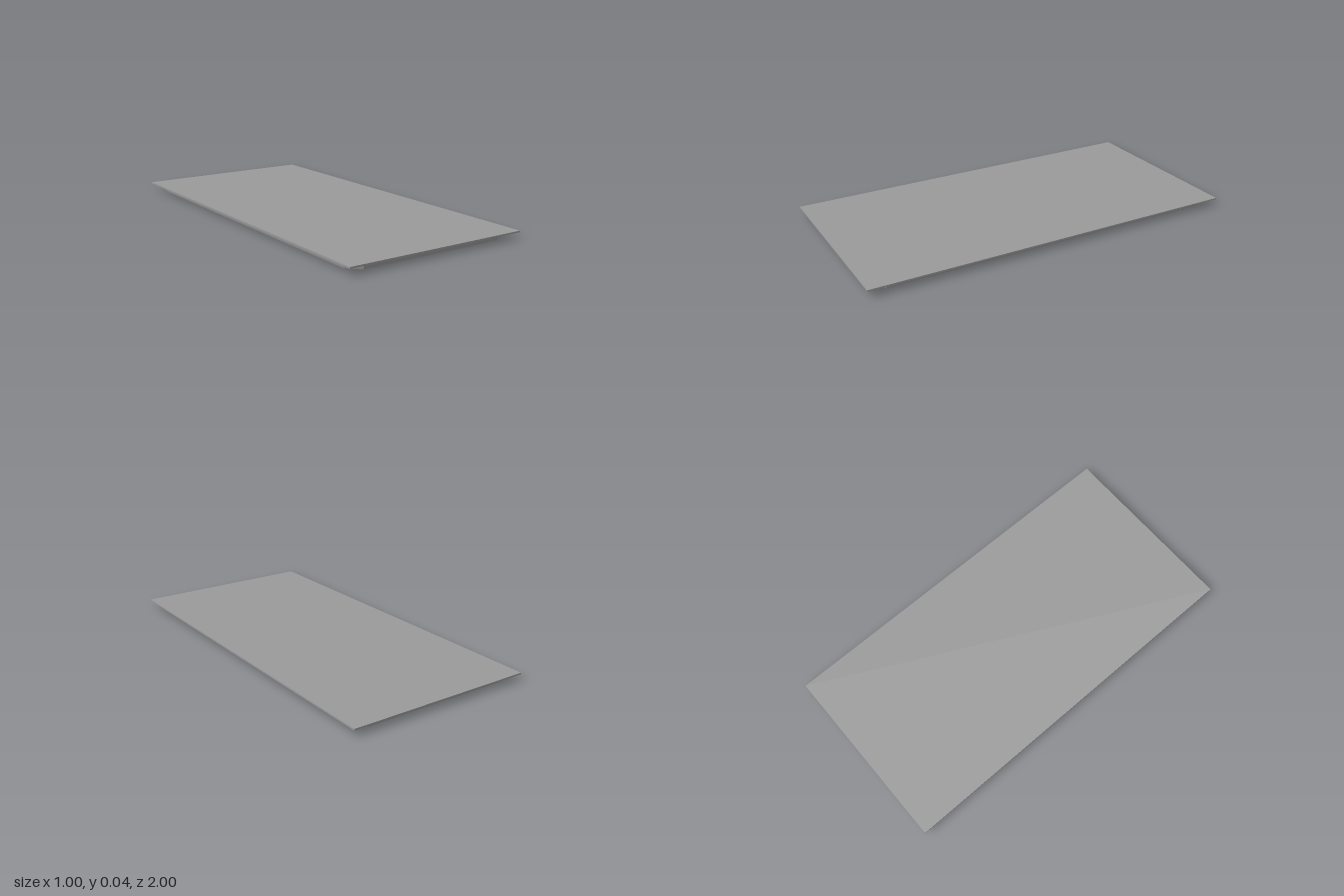
import * as THREE from 'three';

const material = new THREE.MeshStandardMaterial({ color: 0x9a9a9a, flatShading: true });

// Rectangle with clipped corners, reaching x = a and z = a + 0.5
function clippedRing(a, y) {
  const b = a + 0.5;
  const c = 0.067 - 0.586 * (0.467 - a);
  return [
    [a, b - c], [a, c - b], [a - c, -b], [c - a, -b],
    [-a, c - b], [-a, b - c], [c - a, b], [a - c, b],
  ].map(([x, z]) => new THREE.Vector3(x, y, z));
}

// Sweeps a profile of [reach, height] points round the clipped rectangle
function sweepProfile(profile) {
  const rings = profile.map(([a, y]) => clippedRing(a, y));
  const points = [];
  for (let i = 0; i < rings.length - 1; i++) {
    for (let j = 0; j < 8; j++) {
      const k = (j + 1) % 8;
      const p = rings[i][j], q = rings[i][k];
      const r = rings[i + 1][k], s = rings[i + 1][j];
      points.push(p, s, r, p, r, q);
    }
  }
  const geometry = new THREE.BufferGeometry().setFromPoints(points);
  geometry.computeVertexNormals();
  return geometry;
}

export function createModel() {
  const group = new THREE.Group();

  // Thin flat top
  const top = new THREE.Mesh(new THREE.BoxGeometry(1, 0.008, 2), material);
  top.name = 'topPanel';
  top.position.y = 0.038;
  group.add(top);

  // Hollow apron under the top, flared on both sides where it meets the panel
  const apron = new THREE.Mesh(
    sweepProfile([
      [0.467, 0.034], [0.459, 0.022], [0.454, 0],
      [0.441, 0], [0.436, 0.022], [0.428, 0.034],
    ]),
    material,
  );
  apron.name = 'apron';
  group.add(apron);

  return group;
}
